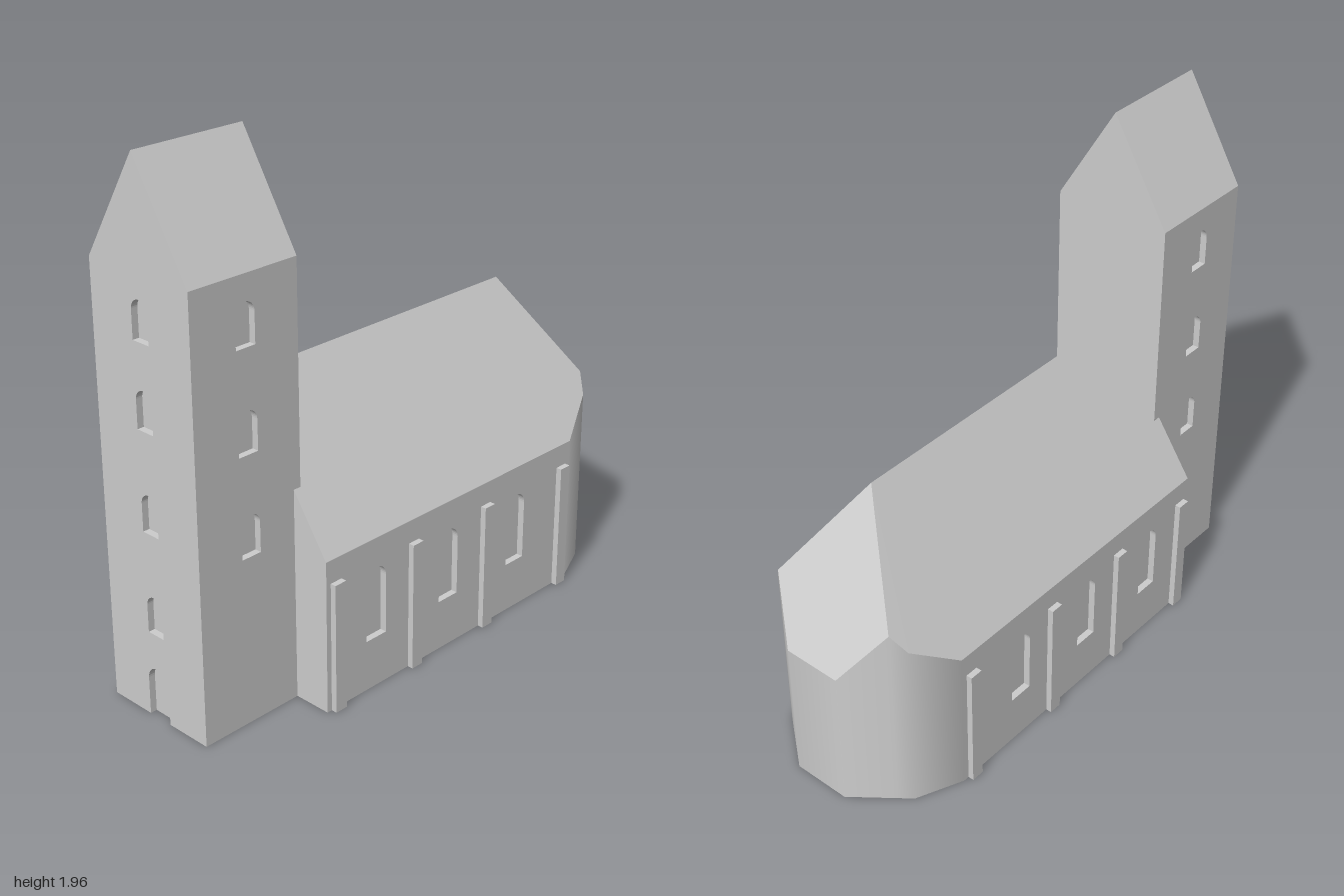
import * as THREE from 'three';

const stone = new THREE.MeshStandardMaterial({ color: 0xcccccc });
stone.name = 'pale grey stone';

const RECESS = 0.025;                                  // depth of windows and door
const NAVE = { west: -0.59, east: 0.68, half: 0.375, eave: 0.57, ridge: 1.12 };
const TOWER = { west: -1, east: -0.56, half: 0.23, eave: 1.575, ridge: 1.955 };

function add(parent, name, geometry, x = 0, y = 0, z = 0) {
  const mesh = new THREE.Mesh(geometry, stone);
  mesh.name = name;
  mesh.position.set(x, y, z);
  parent.add(mesh);
  return mesh;
}

// Box given by its limits on each axis
function block(parent, name, x0, x1, y0, y1, z0, z1) {
  return add(parent, name, new THREE.BoxGeometry(x1 - x0, y1 - y0, z1 - z0),
    (x0 + x1) / 2, (y0 + y1) / 2, (z0 + z1) / 2);
}

// Round-headed outline drawn onto a path, from its left foot to its right foot
function traceArch(path, cx, bottom, width, height) {
  const r = width / 2, spring = bottom + height - r;
  path.lineTo(cx - r, bottom);
  path.lineTo(cx - r, spring);
  path.absarc(cx, spring, r, Math.PI, 0, true);
  path.lineTo(cx + r, bottom);
}

function archHole(cx, bottom, width, height) {
  const path = new THREE.Path();
  path.moveTo(cx - width / 2, bottom);
  traceArch(path, cx, bottom, width, height);
  path.closePath();
  return path;
}

const extrude = (shape, depth) =>
  new THREE.ExtrudeGeometry(shape, { depth, bevelEnabled: false, curveSegments: 10 });

function wallShape(x0, x1, height, holes) {
  const shape = new THREE.Shape([[x0, 0], [x1, 0], [x1, height], [x0, height]]
    .map(p => new THREE.Vector2(...p)));
  shape.holes.push(...holes);
  return shape;
}

// Flat convex polygon turned away from the middle of the nave
function face(points) {
  const v = points.map(p => new THREE.Vector3(...p));
  const middle = v.reduce((a, p) => a.add(p), new THREE.Vector3()).divideScalar(v.length);
  const normal = v[1].clone().sub(v[0]).cross(v[2].clone().sub(v[0]));
  if (normal.dot(middle.sub(new THREE.Vector3(0, 0.4, 0))) < 0) v.reverse();
  const tris = [];
  for (let i = 1; i < v.length - 1; i++) tris.push(v[0], v[i], v[i + 1]);
  const geometry = new THREE.BufferGeometry().setFromPoints(tris);
  geometry.computeVertexNormals();
  return geometry;
}

function buildNave() {
  const nave = new THREE.Group();
  nave.name = 'nave';
  const { west, east, half, eave, ridge } = NAVE;
  const roofHeight = (x, z) => Math.min(
    ridge - (ridge - eave) / half * Math.abs(z),
    ridge - 1.78 * Math.max(0, x - east));

  // Side walls with window recesses, in front of a plain core
  block(nave, 'naveCore', west, east, 0, eave, -half + RECESS, half - RECESS);
  const windows = [-0.355, 0.01, 0.375].map(x => archHole(x, 0.19, 0.095, 0.27));
  const wall = extrude(wallShape(west, east, eave, windows), RECESS);
  for (const side of [1, -1]) {
    add(nave, 'naveWall', wall, 0, 0, side > 0 ? half - RECESS : -half);
    for (const x of [-0.545, -0.17, 0.205, 0.632]) {
      const z = side * (half - 0.005);
      block(nave, 'buttress', x - 0.025, x + 0.025, 0, 0.485,
        Math.min(z, side * 0.397), Math.max(z, side * 0.397));
    }
  }

  // Ground plan of the apse, from front to back
  const halfPlan = [[east, half], [0.85, 0.3], [0.888, 0.252], [1, 0.11]];
  const plan = [...halfPlan, ...halfPlan.map(([x, z]) => [x, -z]).reverse()];

  // Apse wall: vertical strip with smooth normals, cut off by the roof slopes
  const positions = [], normals = [], index = [];
  plan.forEach(([x, z], i) => {
    const a = plan[Math.max(i - 1, 0)], b = plan[Math.min(i + 1, plan.length - 1)];
    const n = i === 0 ? [0, 1] : i === plan.length - 1 ? [0, -1] : [a[1] - b[1], b[0] - a[0]];
    const length = Math.hypot(...n);
    for (const y of [0, roofHeight(x, z)]) {
      positions.push(x, y, z);
      normals.push(n[0] / length, 0, n[1] / length);
    }
    if (i > 0) {
      const k = 2 * i;
      index.push(k - 2, k, k - 1, k - 1, k, k + 1);
    }
  });
  const apse = new THREE.BufferGeometry();
  apse.setAttribute('position', new THREE.Float32BufferAttribute(positions, 3));
  apse.setAttribute('normal', new THREE.Float32BufferAttribute(normals, 3));
  apse.setIndex(index);
  add(nave, 'apseWall', apse);

  // Roof slopes, hipped east end, west gable and underside
  const atRoof = ([x, z]) => [x, roofHeight(x, z), z];
  for (const side of [1, -1]) {
    const edge = [[east, 0], halfPlan[2], halfPlan[1], halfPlan[0], [west, half], [west, 0]];
    add(nave, 'roofSlope', face(edge.map(([x, z]) => atRoof([x, z * side]))));
  }
  add(nave, 'roofHip', face([[east, 0], ...plan.slice(2, 6)].map(atRoof)));
  add(nave, 'westGable', face([[west, 0, half], [west, eave, half], [west, ridge, 0],
    [west, eave, -half], [west, 0, -half]]));
  add(nave, 'apseFloor', face(plan.map(([x, z]) => [x, 0, z])));
  return nave;
}

function buildTower() {
  const tower = new THREE.Group();
  tower.name = 'tower';
  const { west, east, half, eave, ridge } = TOWER;
  const inner = west + RECESS;
  block(tower, 'towerCore', inner, east, 0, eave, -half + RECESS, half - RECESS);

  // Side walls with three windows each
  const sideWindows = [0.69, 1.05, 1.41].map(y => archHole(-0.78, y - 0.075, 0.08, 0.15));
  const sideWall = extrude(wallShape(inner, east, eave, sideWindows), RECESS);
  add(tower, 'towerSideWall', sideWall, 0, 0, half - RECESS);
  add(tower, 'towerSideWall', sideWall, 0, 0, -half);

  // Gabled west wall with a doorway and four windows
  const front = new THREE.Shape();
  front.moveTo(-half, 0);
  traceArch(front, 0, 0, 0.1, 0.19);
  front.lineTo(half, 0);
  front.lineTo(half, eave);
  front.lineTo(0, ridge);
  front.lineTo(-half, eave);
  front.closePath();
  for (const y of [0.39, 0.76, 1.12, 1.42]) front.holes.push(archHole(0, y - 0.07, 0.075, 0.14));
  add(tower, 'towerWestWall', extrude(front, RECESS), inner).rotation.y = -Math.PI / 2;

  // Saddle roof
  const gable = new THREE.Shape([new THREE.Vector2(-half, eave), new THREE.Vector2(half, eave),
    new THREE.Vector2(0, ridge)]);
  add(tower, 'towerRoof', extrude(gable, east - inner), east).rotation.y = -Math.PI / 2;
  return tower;
}

export function createModel() {
  const church = new THREE.Group();
  church.name = 'church';
  church.add(buildNave(), buildTower());
  return church;
}
